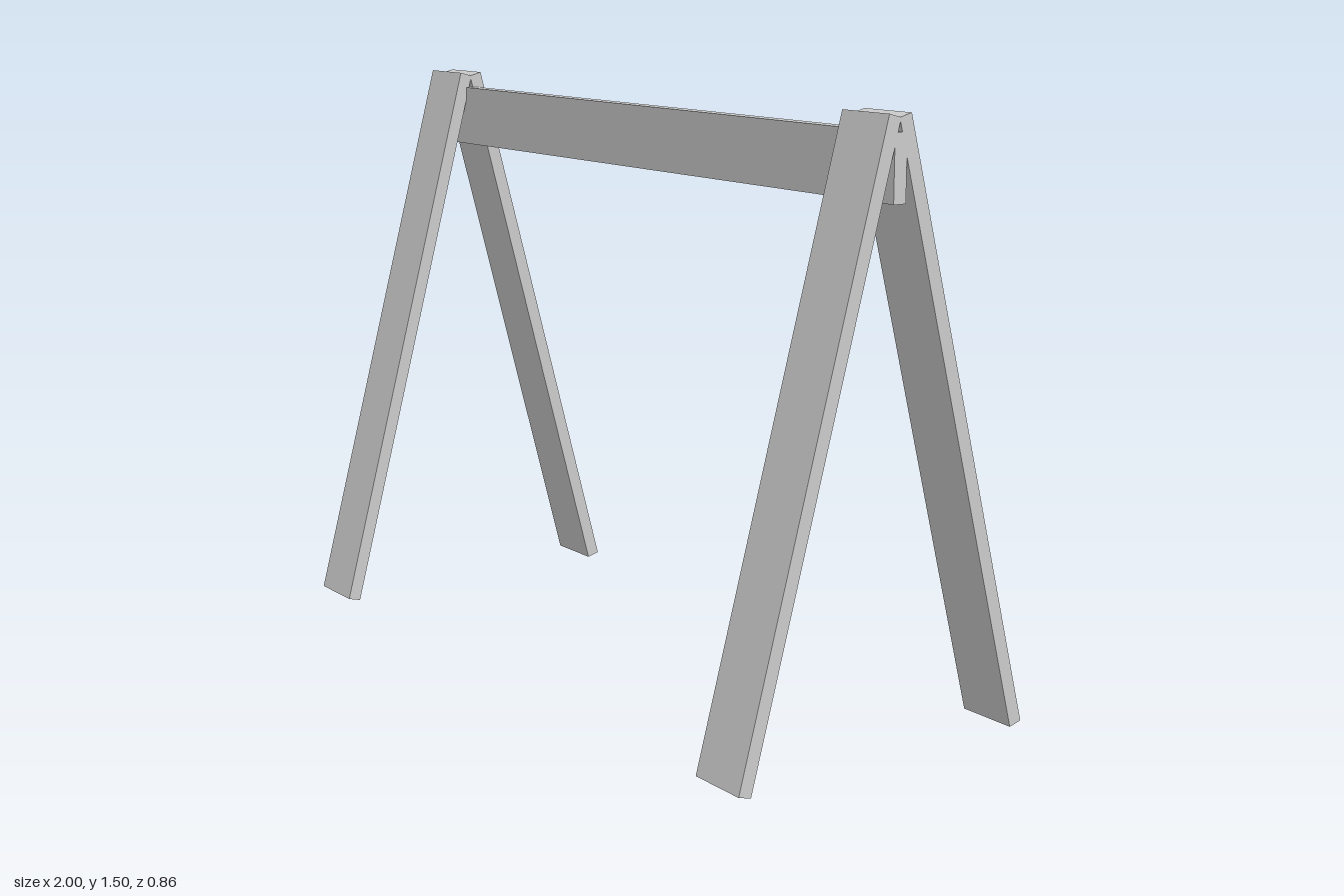
import * as THREE from 'three';

const WIDTH = 0.16; // plank width
const THICK = 0.036; // plank thickness
const LEG_LENGTH = 1.545;
const TILT = THREE.MathUtils.degToRad(15);

export function createModel() {
  const group = new THREE.Group();
  group.name = 'trestle';
  const material = new THREE.MeshStandardMaterial({ color: 0xcccccc, flatShading: true });

  const addPlank = (name, w, h, d) => {
    const mesh = new THREE.Mesh(new THREE.BoxGeometry(w, h, d), material);
    mesh.name = name;
    group.add(mesh);
    return mesh;
  };

  // Four legs, leaning together in pairs until they meet at the top
  for (const [side, sx] of [['left', 1], ['right', -1]]) {
    for (const [end, sz] of [['front', 1], ['back', -1]]) {
      const leg = addPlank(`${end}${side === 'left' ? 'Left' : 'Right'}Leg`, WIDTH, LEG_LENGTH, THICK);
      leg.position.set(sx * (1 - WIDTH / 2), 0.751, sz * 0.215);
      leg.rotation.x = -sz * TILT;
    }
  }

  // Cross beam, resting in the crook of both leg pairs
  const beam = addPlank('crossBeam', 2, WIDTH, THICK);
  beam.position.set(0, 1.38, -0.003);

  return group;
}
